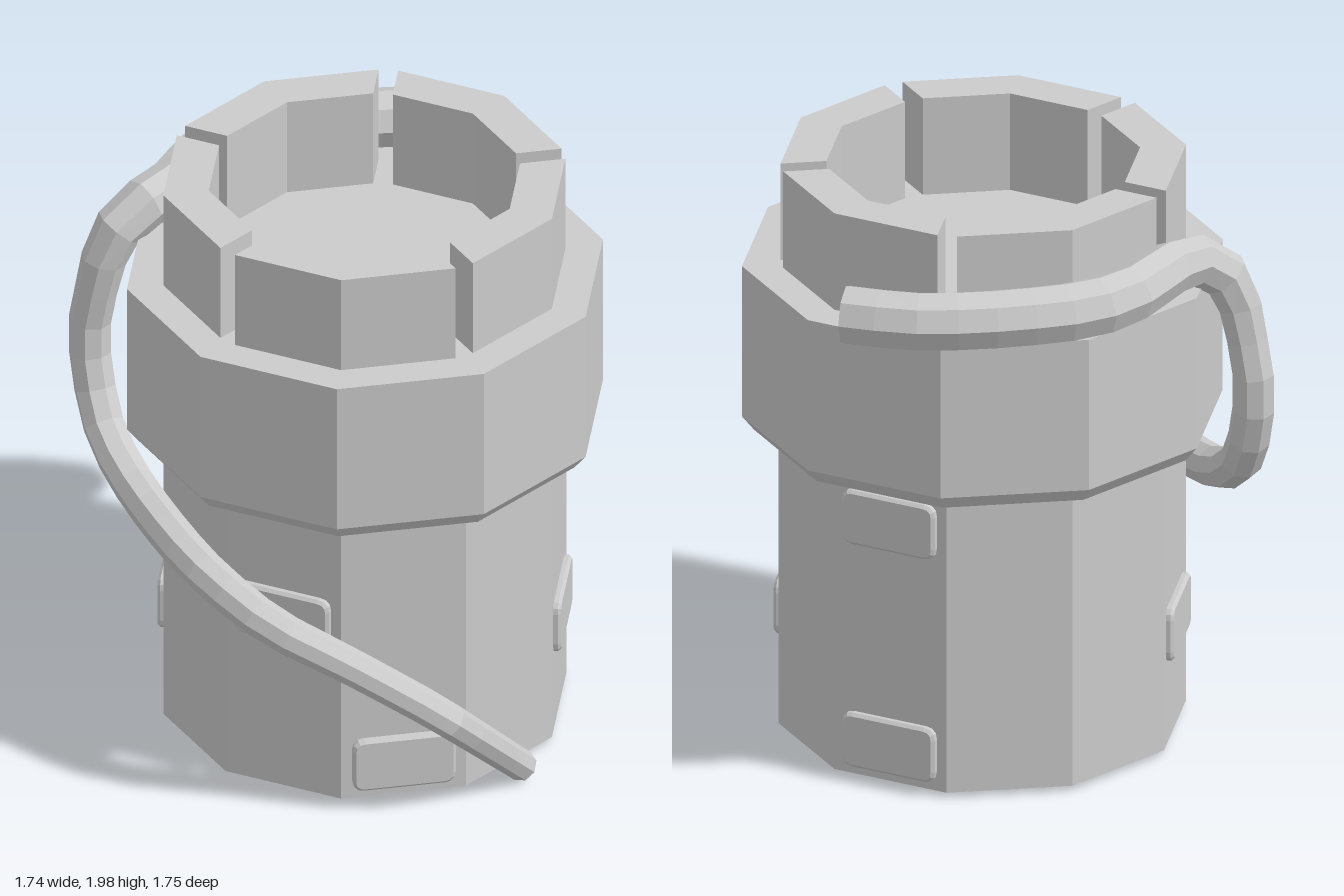
import * as THREE from 'three';

const CX = 0.087, CZ = 0.047; // tower axis
const SIDES = 10, STEP = (Math.PI * 2) / SIDES;
const R = 0.665, R_IN = 0.515, R_RING = 0.785;
const material = new THREE.MeshStandardMaterial({ color: 0xcccccc, flatShading: true });
const doubleSided = material.clone();
doubleSided.side = THREE.DoubleSide;

function add(parent, name, geometry, mat = material) {
  const mesh = new THREE.Mesh(geometry, mat);
  mesh.name = name;
  parent.add(mesh);
  return mesh;
}

// Ten-sided solid of revolution with a corner on +x
function turned(profile) {
  const points = profile.map(([r, y]) => new THREE.Vector2(r, y));
  return new THREE.LatheGeometry(points, SIDES, Math.PI / 2);
}

// One battlement block: two wall facets with parallel-sided gaps at both ends
function battlementGeometry() {
  const halfGap = 0.032 / Math.cos(STEP / 2);
  const corner = (r, k) => new THREE.Vector2(r * Math.cos(k * STEP), r * Math.sin(k * STEP));
  const end = (r, k) => {
    const along = corner(r, 0).sub(corner(r, k)).normalize();
    return corner(r, k).addScaledVector(along, halfGap);
  };
  const shape = new THREE.Shape([
    end(R, -1), corner(R, 0), end(R, 1),
    end(R_IN, 1), corner(R_IN, 0), end(R_IN, -1),
  ]);
  const geometry = new THREE.ExtrudeGeometry(shape, { depth: 0.34, bevelEnabled: false });
  return geometry.rotateX(-Math.PI / 2).translate(0, 1.66, 0);
}

// Stone plate with rounded corners and a bevelled face
function plateGeometry() {
  const w = 0.16, h = 0.085, c = 0.03;
  const s = new THREE.Shape();
  s.moveTo(-w + c, -h);
  s.lineTo(w - c, -h);
  s.quadraticCurveTo(w, -h, w, -h + c);
  s.lineTo(w, h - c);
  s.quadraticCurveTo(w, h, w - c, h);
  s.lineTo(-w + c, h);
  s.quadraticCurveTo(-w, h, -w, h - c);
  s.lineTo(-w, -h + c);
  s.quadraticCurveTo(-w, -h, -w + c, -h);
  return new THREE.ExtrudeGeometry(s, {
    depth: 0.015, bevelThickness: 0.01, bevelSize: 0.01, bevelSegments: 1, curveSegments: 3,
  });
}

// Tapered tube: x, y, z, radius for each point along the path
function vineGeometries(path, segments, sides) {
  const curve = new THREE.CatmullRomCurve3(path.map(([x, y, z]) => new THREE.Vector3(x, y, z)), false, 'centripetal');
  const tube = new THREE.TubeGeometry(curve, segments, 1, sides, false);
  const pos = tube.attributes.position;
  const v = new THREE.Vector3();
  for (let i = 0; i <= segments; i++) {
    const centre = curve.getPointAt(i / segments);
    const t = curve.getUtoTmapping(i / segments) * (path.length - 1);
    const k = Math.min(Math.floor(t), path.length - 2);
    const radius = THREE.MathUtils.lerp(path[k][3], path[k + 1][3], t - k);
    for (let j = 0; j <= sides; j++) {
      const n = i * (sides + 1) + j;
      v.fromBufferAttribute(pos, n).sub(centre).multiplyScalar(radius).add(centre);
      pos.setXYZ(n, v.x, v.y, v.z);
    }
  }
  // Flat caps fanned from each end ring
  const caps = [0, segments].map((ring) => {
    const centre = curve.getPointAt(ring / segments);
    const corners = [];
    for (let j = 0; j < sides; j++) {
      corners.push(centre.clone());
      for (const m of [j, j + 1]) {
        corners.push(new THREE.Vector3().fromBufferAttribute(pos, ring * (sides + 1) + m));
      }
    }
    const cap = new THREE.BufferGeometry().setFromPoints(corners);
    cap.computeVertexNormals();
    return cap;
  });
  tube.computeVertexNormals();
  return { tube, caps };
}

export function createModel() {
  const model = new THREE.Group();
  model.name = 'tower';

  const masonry = new THREE.Group();
  masonry.name = 'masonry';
  masonry.position.set(CX, 0, CZ);
  model.add(masonry);

  // Shaft and the wider ring above it
  add(masonry, 'shaft', turned([[0, 0.04], [R, 0.04], [R, 1.09], [0, 1.09]]));
  add(masonry, 'parapetRing', turned([[0, 1.08], [0.745, 1.08], [R_RING, 1.13], [R_RING, 1.66], [0, 1.66]]));

  // Five battlements around the top
  const battlement = battlementGeometry();
  for (let i = 0; i < 5; i++) {
    add(masonry, 'battlement', battlement).rotation.y = i * 2 * STEP;
  }

  // Plates on the shaft: facet angle in degrees, height
  const plate = plateGeometry();
  const apothem = R * Math.cos(STEP / 2);
  for (const [deg, y] of [[90, 0.685], [54, 0.165], [162, 0.425], [-18, 0.425], [270, 0.95], [270, 0.165]]) {
    const a = THREE.MathUtils.degToRad(deg);
    const mesh = add(masonry, 'stonePlate', plate);
    mesh.position.set(apothem * Math.cos(a), y, apothem * Math.sin(a));
    mesh.rotation.y = Math.PI / 2 - a;
  }

  // Vine winding from the back of the battlements down to the front
  const vine = new THREE.Group();
  vine.name = 'vine';
  model.add(vine);
  const { tube, caps } = vineGeometries([
    [0.145, 1.75, -0.785, 0.1], [-0.08, 1.75, -0.73, 0.1], [-0.25, 1.75, -0.63, 0.1],
    [-0.41, 1.75, -0.5, 0.1], [-0.53, 1.75, -0.37, 0.1], [-0.6, 1.76, -0.23, 0.095],
    [-0.615, 1.76, 0.02, 0.09], [-0.66, 1.75, 0.14, 0.085], [-0.73, 1.66, 0.22, 0.08],
    [-0.77, 1.5, 0.24, 0.07], [-0.805, 1.3, 0.24, 0.07], [-0.78, 1.12, 0.26, 0.07],
    [-0.71, 0.98, 0.32, 0.07], [-0.57, 0.89, 0.43, 0.07], [-0.28, 0.83, 0.66, 0.07],
    [-0.13, 0.8, 0.75, 0.068], [0.1, 0.72, 0.81, 0.065], [0.35, 0.59, 0.74, 0.06],
    [0.62, 0.43, 0.65, 0.058], [0.66, 0.38, 0.61, 0.057], [0.755, 0.06, 0.28, 0.052],
  ], 36, 8);
  add(vine, 'vineStem', tube);
  caps.forEach((cap) => add(vine, 'vineEnd', cap, doubleSided));

  return model;
}
